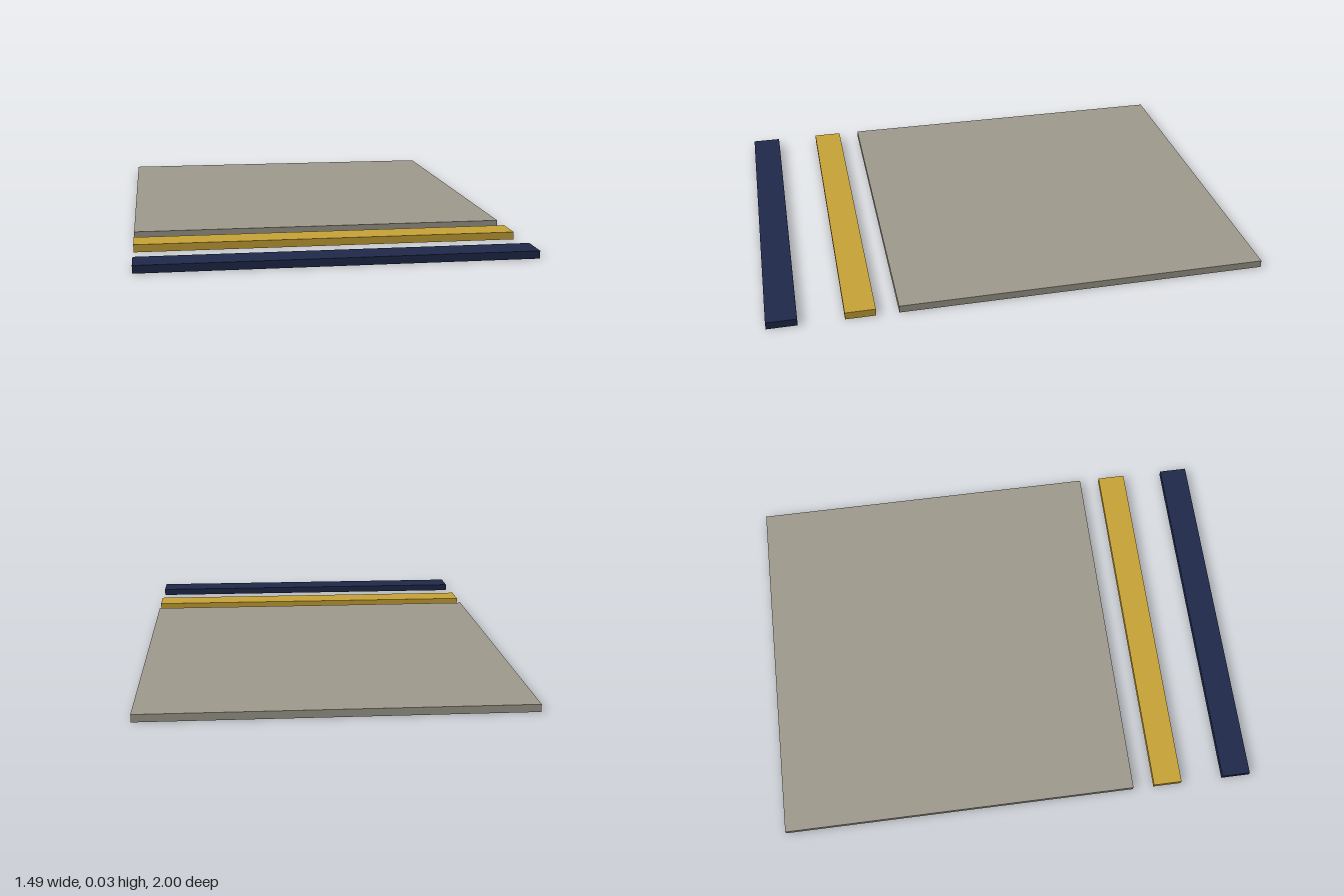
import * as THREE from 'three';

// One module: the slab is 50 modules square, the whole layout 67 long
const U = 2 / 67;

export function createModel() {
  const group = new THREE.Group();

  const flatMaterial = (name, color) => {
    const material = new THREE.MeshStandardMaterial({ color });
    material.name = name;
    return material;
  };

  // Adds a full-width plate resting on the ground, from its back edge forward
  const addPlate = (name, back, depth, material) => {
    const mesh = new THREE.Mesh(new THREE.BoxGeometry(50 * U, U, depth * U), material);
    mesh.name = name;
    mesh.position.set(0, U / 2, -1 + (back + depth / 2) * U);
    group.add(mesh);
  };

  // Large square slab at the back, two narrow strips in front of it
  addPlate('squareSlab', 0, 50, flatMaterial('warm grey', 0xa09b8e));
  addPlate('goldStrip', 53, 4, flatMaterial('gold', 0xc9a436));
  addPlate('navyStrip', 63, 4, flatMaterial('navy', 0x1f2a4b));

  return group;
}
